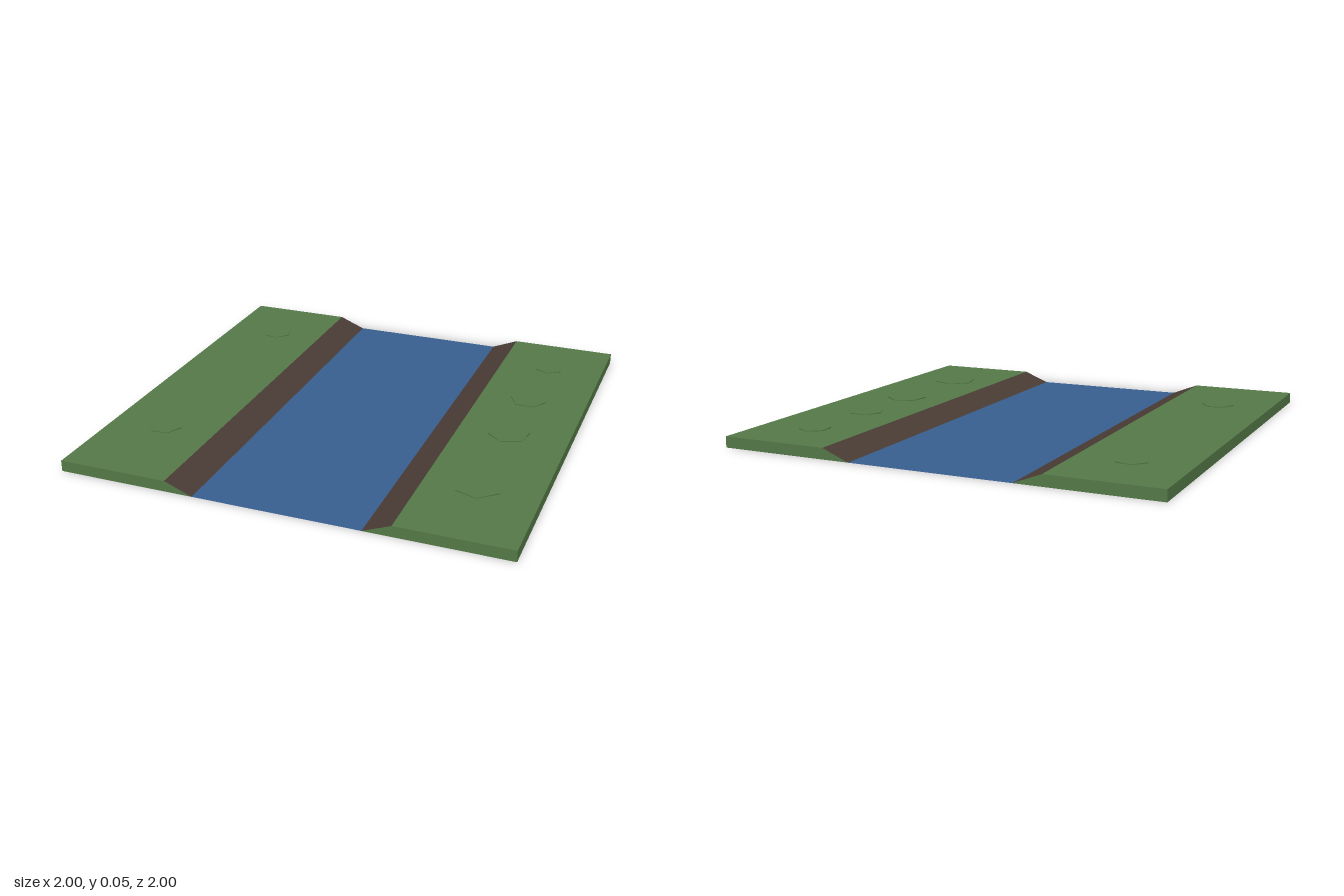
import * as THREE from 'three';

const H = 0.05;       // bank height
const TOP = 0.5;      // x where the grass meets the slope
const SHORE = 0.375;  // x where the slope meets the water

const flat = (name, color) => {
  const m = new THREE.MeshStandardMaterial({ color, side: THREE.DoubleSide });
  m.name = name;
  return m;
};

export function createModel() {
  const grass = flat('grass green', 0x547847);
  const dirt = flat('dirt brown', 0x4a3c35);
  const water = flat('water blue', 0x385e8e);
  const model = new THREE.Group();
  model.name = 'riverTile';

  const add = (name, geometry, material, x = 0, y = 0, z = 0) => {
    const mesh = new THREE.Mesh(geometry, material);
    mesh.name = name;
    mesh.position.set(x, y, z);
    model.add(mesh);
    return mesh;
  };

  // Upward-facing strip running the length of the tile
  const strip = (width) => new THREE.PlaneGeometry(width, 2).rotateX(-Math.PI / 2);

  add('water', strip(2 * SHORE), water);

  const run = TOP - SHORE;
  for (const s of [1, -1]) {
    const side = s > 0 ? 'left' : 'right';

    // Grass top and sloping shore
    add(side + 'Grass', strip(1 - TOP), grass, s * (1 + TOP) / 2, H);
    const shore = add(side + 'Shore', strip(Math.hypot(run, H)), dirt, s * (TOP + SHORE) / 2, H / 2);
    shore.rotation.z = s * Math.atan2(H, run);

    // Outer wall, the tile being hollow underneath
    const wall = new THREE.PlaneGeometry(2, H).rotateY(s * Math.PI / 2);
    add(side + 'OuterWall', wall, grass, s, H / 2);

    // End walls follow the bank profile
    const profile = new THREE.Shape([
      new THREE.Vector2(s * SHORE, 0), new THREE.Vector2(s, 0),
      new THREE.Vector2(s, H), new THREE.Vector2(s * TOP, H),
    ]);
    add(side + 'FrontWall', new THREE.ShapeGeometry(profile), grass, 0, 0, 1);
    add(side + 'BackWall', new THREE.ShapeGeometry(profile), grass, 0, 0, -1)
      .geometry.rotateY(Math.PI).scale(-1, 1, 1);
  }

  // Low grass patches: x, z, radius, turn
  const patches = [
    [0.73, 0.58, 0.105, 0.2], [0.73, 0.07, 0.095, 0.9], [0.73, -0.305, 0.085, 0.5],
    [0.74, -0.71, 0.07, 0.1], [-0.745, 0.55, 0.075, 0.6], [-0.74, -0.66, 0.075, 0.3],
  ];
  patches.forEach(([x, z, r, turn], i) => {
    const disc = new THREE.CylinderGeometry(r, r, 0.004, 6).rotateY(turn);
    add('grassPatch' + (i + 1), disc, grass, x, H + 0.002, z);
  });

  return model;
}
